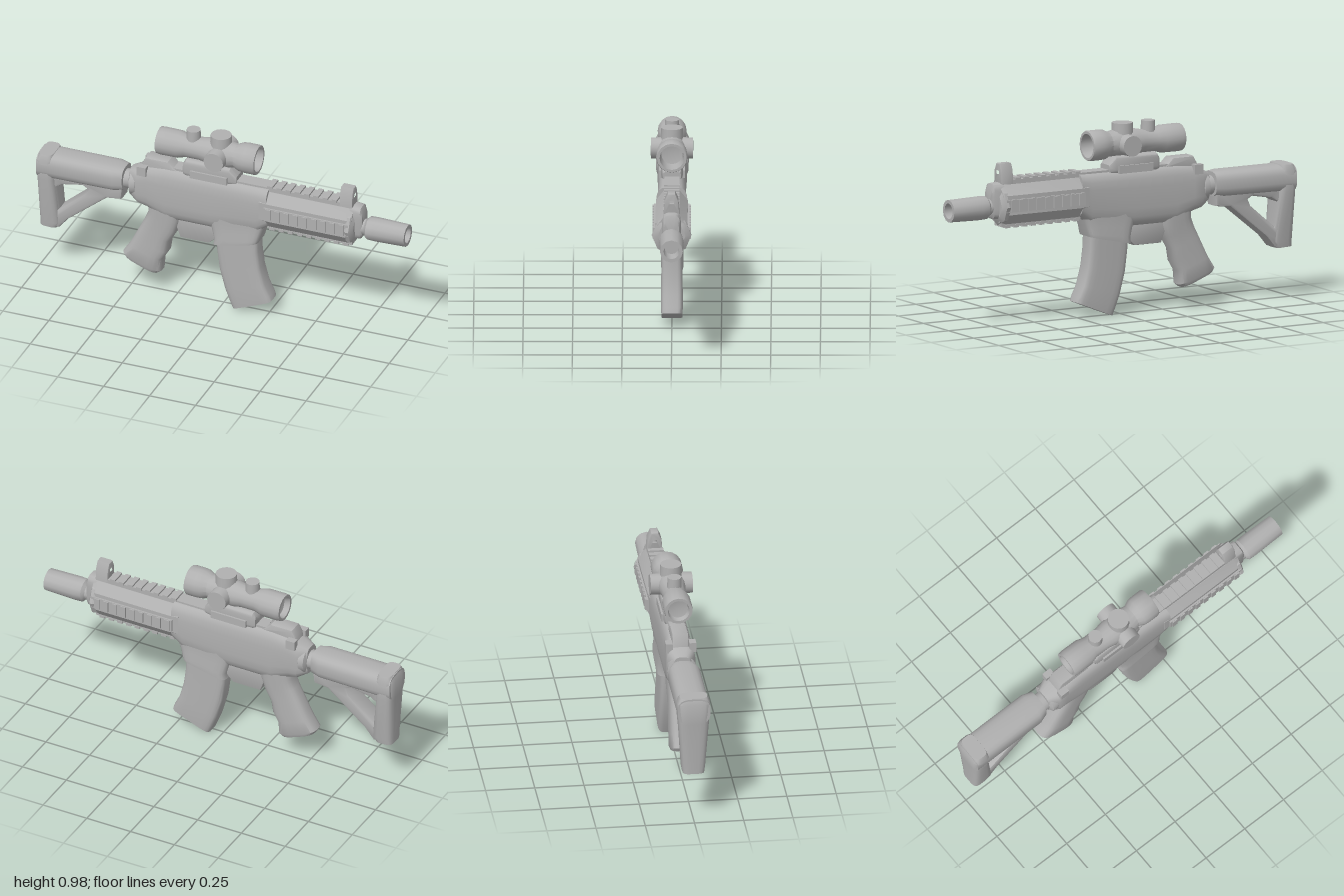
import * as THREE from 'three';
import { toCreasedNormals } from 'three/addons/utils/BufferGeometryUtils.js';

const grey = new THREE.MeshStandardMaterial({ color: 0xb0b0b0 });
grey.name = 'grey';

function add(group, name, geometry, crease = 0.65) {
  const mesh = new THREE.Mesh(toCreasedNormals(geometry, crease), grey);
  mesh.name = name;
  group.add(mesh);
  return mesh;
}

// Loft through rounded sections; each station is [px, py, qx, qy, halfZ],
// where p and q are opposite edges of the section in the side plane.
function loft(stations, power = 0.5, n = 20) {
  const pos = [], index = [];
  const mid = (s) => [(s[0] + s[2]) / 2, (s[1] + s[3]) / 2];
  const a = mid(stations[0]), b = mid(stations[stations.length - 1]);
  const s0 = stations[0];
  const turn = (s0[3] - s0[1]) * (b[0] - a[0]) - (s0[2] - s0[0]) * (b[1] - a[1]);
  const dir = turn < 0 ? -1 : 1;
  const soft = (v) => Math.sign(v) * Math.pow(Math.abs(v), power);
  for (const s of stations) {
    const [cx, cy] = mid(s);
    for (let i = 0; i < n; i++) {
      const t = ((i + 0.5) / n) * Math.PI * 2;
      const u = (soft(Math.cos(t)) * dir) / 2;
      pos.push(cx + (s[2] - s[0]) * u, cy + (s[3] - s[1]) * u, s[4] * soft(Math.sin(t)));
    }
  }
  const last = stations.length - 1;
  for (let k = 0; k < last; k++) {
    for (let i = 0; i < n; i++) {
      const j = (i + 1) % n, p = k * n, q = p + n;
      index.push(p + i, p + j, q + j, p + i, q + j, q + i);
    }
  }
  const c0 = pos.length / 3;
  pos.push(a[0], a[1], 0, b[0], b[1], 0);
  for (let i = 0; i < n; i++) {
    const j = (i + 1) % n;
    index.push(c0, j, i, c0 + 1, last * n + i, last * n + j);
  }
  const g = new THREE.BufferGeometry();
  g.setAttribute('position', new THREE.Float32BufferAttribute(pos, 3));
  g.setIndex(index);
  return g;
}

// Loft along x: stations are [x, bottom, top, halfZ]
const loftX = (rows, power, n) => loft(rows.map(([x, lo, hi, h]) => [x, lo, x, hi, h]), power, n);

// Turned part along x: profile rows are [radius, x]
function turned(profile, y, sides = 16) {
  const g = new THREE.LatheGeometry(profile.map(([r, x]) => new THREE.Vector2(r, x)), sides);
  return g.rotateZ(-Math.PI / 2).translate(0, y, 0);
}

// Bevelled plate in the side plane
function plate(outline, halfZ, bevel, hole) {
  const pts = (list) => list.map(([x, y]) => new THREE.Vector2(x, y));
  const shape = new THREE.Shape(pts(outline));
  if (hole) shape.holes.push(new THREE.Path(pts(hole)));
  return new THREE.ExtrudeGeometry(shape, {
    depth: 2 * (halfZ - bevel), bevelEnabled: true, bevelThickness: bevel,
    bevelSize: bevel, bevelOffset: -bevel, bevelSegments: 2,
  }).translate(0, 0, -(halfZ - bevel));
}

const box = (x, y, z, w, h, d) => new THREE.BoxGeometry(w, h, d).translate(x, y, z);

function group(parent, name) {
  const g = new THREE.Group();
  g.name = name;
  parent.add(g);
  return g;
}

export function createModel() {
  const model = new THREE.Group();
  model.name = 'toyCarbine';

  // Shoulder stock
  const stock = group(model, 'stock');
  add(stock, 'stockTube', loftX([
    [-0.99, 0.55, 0.69, 0.083], [-0.58, 0.555, 0.69, 0.083], [-0.53, 0.56, 0.685, 0.065],
  ], 0.65));
  add(stock, 'buttPad', loft([
    [-0.985, 0.27, -0.89, 0.265, 0.055], [-0.985, 0.3, -0.87, 0.295, 0.06],
    [-0.995, 0.55, -0.9, 0.55, 0.078], [-1, 0.66, -0.9, 0.66, 0.084], [-0.985, 0.692, -0.91, 0.692, 0.07],
  ], 0.5));
  add(stock, 'stockFrame', plate(
    [[-0.96, 0.6], [-0.96, 0.27], [-0.88, 0.27], [-0.83, 0.33], [-0.62, 0.5], [-0.54, 0.51], [-0.53, 0.6]],
    0.052, 0.014,
    [[-0.9, 0.5], [-0.86, 0.525], [-0.75, 0.545], [-0.725, 0.53], [-0.74, 0.495], [-0.88, 0.375], [-0.9, 0.385]],
  ));
  add(stock, 'bufferTube', turned([
    [0, -0.56], [0.05, -0.56], [0.05, -0.5], [0.075, -0.49], [0.075, -0.46], [0.06, -0.45], [0.06, -0.38], [0, -0.38],
  ], 0.615));

  // Receiver and magazine well
  const receiver = group(model, 'receiver');
  add(receiver, 'receiverBody', loftX([
    [-0.5, 0.54, 0.69, 0.045], [-0.45, 0.51, 0.71, 0.074], [-0.4, 0.495, 0.735, 0.072],
    [-0.3, 0.45, 0.745, 0.07], [-0.05, 0.45, 0.745, 0.07], [0.2, 0.48, 0.745, 0.075], [0.26, 0.53, 0.745, 0.08],
  ], 0.55));
  add(receiver, 'magazineWell', loft([
    [-0.04, 0.365, 0.205, 0.42, 0.072], [-0.035, 0.4, 0.21, 0.435, 0.073],
    [-0.05, 0.45, 0.22, 0.47, 0.066], [-0.08, 0.56, 0.25, 0.56, 0.07],
  ], 0.35));
  add(receiver, 'rearSight', plate(
    [[-0.44, 0.69], [-0.43, 0.745], [-0.41, 0.78], [-0.29, 0.78], [-0.26, 0.75], [-0.22, 0.73]], 0.042, 0.01));
  for (const side of [-1, 1]) {
    add(receiver, 'rearSightWing', box(-0.42, 0.715, side * 0.06, 0.05, 0.05, 0.035));
  }
  add(receiver, 'triggerGuard', plate(
    [[-0.27, 0.47], [-0.225, 0.35], [-0.07, 0.35], [-0.02, 0.4], [-0.02, 0.47]], 0.032, 0.006,
    [[-0.225, 0.462], [-0.2, 0.38], [-0.07, 0.375], [-0.045, 0.41], [-0.045, 0.462]]));
  const triggerPath = new THREE.CatmullRomCurve3(
    [[-0.16, 0.47], [-0.155, 0.435], [-0.14, 0.41], [-0.115, 0.39]].map(([x, y]) => new THREE.Vector3(x, y, 0)));
  add(receiver, 'trigger', new THREE.TubeGeometry(triggerPath, 8, 0.012, 8), 1);

  // Pistol grip with a gently wavy front edge
  add(model, 'grip', loft([
    [-0.53, 0.18, -0.35, 0.11, 0.05], [-0.54, 0.2, -0.33, 0.125, 0.058], [-0.5, 0.26, -0.325, 0.195, 0.058],
    [-0.48, 0.3, -0.295, 0.245, 0.057], [-0.445, 0.37, -0.285, 0.31, 0.056], [-0.42, 0.42, -0.25, 0.37, 0.056],
    [-0.4, 0.47, -0.23, 0.44, 0.06], [-0.4, 0.53, -0.22, 0.52, 0.062],
  ], 0.6));

  // Curved magazine
  add(model, 'magazine', loft([
    [-0.03, 0.43, 0.195, 0.45, 0.053], [-0.025, 0.33, 0.198, 0.36, 0.053], [-0.01, 0.22, 0.21, 0.265, 0.054],
    [0.02, 0.11, 0.235, 0.17, 0.055], [0.045, 0.045, 0.262, 0.115, 0.055], [0.062, 0.003, 0.272, 0.087, 0.053],
  ], 0.35));

  // Faceted handguard with toothed rails
  const guard = group(model, 'handguard');
  add(guard, 'handguardBody', loftX([
    [0.22, 0.525, 0.735, 0.082], [0.27, 0.52, 0.735, 0.086], [0.69, 0.52, 0.735, 0.086], [0.72, 0.53, 0.73, 0.075],
  ], 0.8, 8), 0.4);
  add(guard, 'topRail', box(0.21, 0.733, 0, 0.94, 0.035, 0.075));
  add(guard, 'bottomRail', box(0.48, 0.528, 0, 0.46, 0.03, 0.07));
  for (const side of [-1, 1]) {
    add(guard, 'sideRail', box(0.48, 0.625, side * 0.075, 0.46, 0.065, 0.03));
  }
  for (let i = 0; i < 9; i++) {
    const x = 0.275 + i * 0.05;
    if (i < 8) add(guard, 'topRailTooth', box(x - 0.01, 0.752, 0, 0.028, 0.016, 0.08));
    add(guard, 'bottomRailTooth', box(x, 0.513, 0, 0.028, 0.016, 0.075));
    for (const side of [-1, 1]) {
      add(guard, 'sideRailTooth', box(x, 0.625, side * 0.091, 0.028, 0.06, 0.012));
    }
  }
  add(guard, 'frontCollar', turned([
    [0, 0.69], [0.095, 0.69], [0.1, 0.7], [0.1, 0.715], [0.07, 0.73], [0, 0.73]], 0.62, 8), 0.4);
  add(guard, 'gasBlock', loftX([[0.7, 0.55, 0.74, 0.05], [0.755, 0.555, 0.735, 0.045], [0.765, 0.57, 0.71, 0.038]], 0.5));

  // Front sight loop, open along the barrel
  const sight = plate(
    [[-0.04, 0.73], [-0.034, 0.8], [-0.018, 0.835], [0.018, 0.835], [0.034, 0.8], [0.04, 0.73]], 0.035, 0.006,
    [[-0.018, 0.775], [-0.016, 0.805], [0.016, 0.805], [0.018, 0.775]]);
  add(model, 'frontSight', sight.rotateY(Math.PI / 2).translate(0.678, 0, 0));

  // Barrel with hollow muzzle
  add(model, 'barrel', turned([
    [0, 0.74], [0.043, 0.74], [0.043, 0.775], [0.06, 0.79], [0.062, 0.83], [0.058, 1],
    [0.04, 1], [0.036, 0.92], [0, 0.92]], 0.615, 12));

  // Telescopic sight
  const scope = group(model, 'scope');
  add(scope, 'scopeTube', turned([
    [0, -0.31], [0.05, -0.32], [0.056, -0.35], [0.07, -0.35], [0.073, -0.33], [0.072, -0.24], [0.06, -0.2],
    [0.06, -0.12], [0.068, -0.08], [0.068, 0.04], [0.062, 0.07], [0.076, 0.1], [0.079, 0.13],
    [0.079, 0.18], [0.075, 0.19], [0.062, 0.19], [0.054, 0.11], [0, 0.1],
  ], 0.877));
  const knob = (r, h) => new THREE.CylinderGeometry(r * 0.93, r, h, 16);
  add(scope, 'topTurret', knob(0.058, 0.11).translate(-0.015, 0.926, 0));
  add(scope, 'rearKnob', knob(0.038, 0.08).translate(-0.165, 0.94, 0));
  for (const side of [-1, 1]) {
    add(scope, 'sideTurret', knob(0.057, 0.107).rotateX(side * Math.PI / 2).translate(-0.015, 0.873, side * 0.0535));
  }
  add(scope, 'scopeMount', loftX([
    [-0.205, 0.73, 0.8, 0.048], [-0.19, 0.725, 0.82, 0.055], [0.05, 0.725, 0.82, 0.055], [0.085, 0.73, 0.775, 0.045],
  ], 0.4));
  add(scope, 'mountClamp', box(-0.06, 0.75, 0, 0.2, 0.04, 0.13));

  return model;
}
